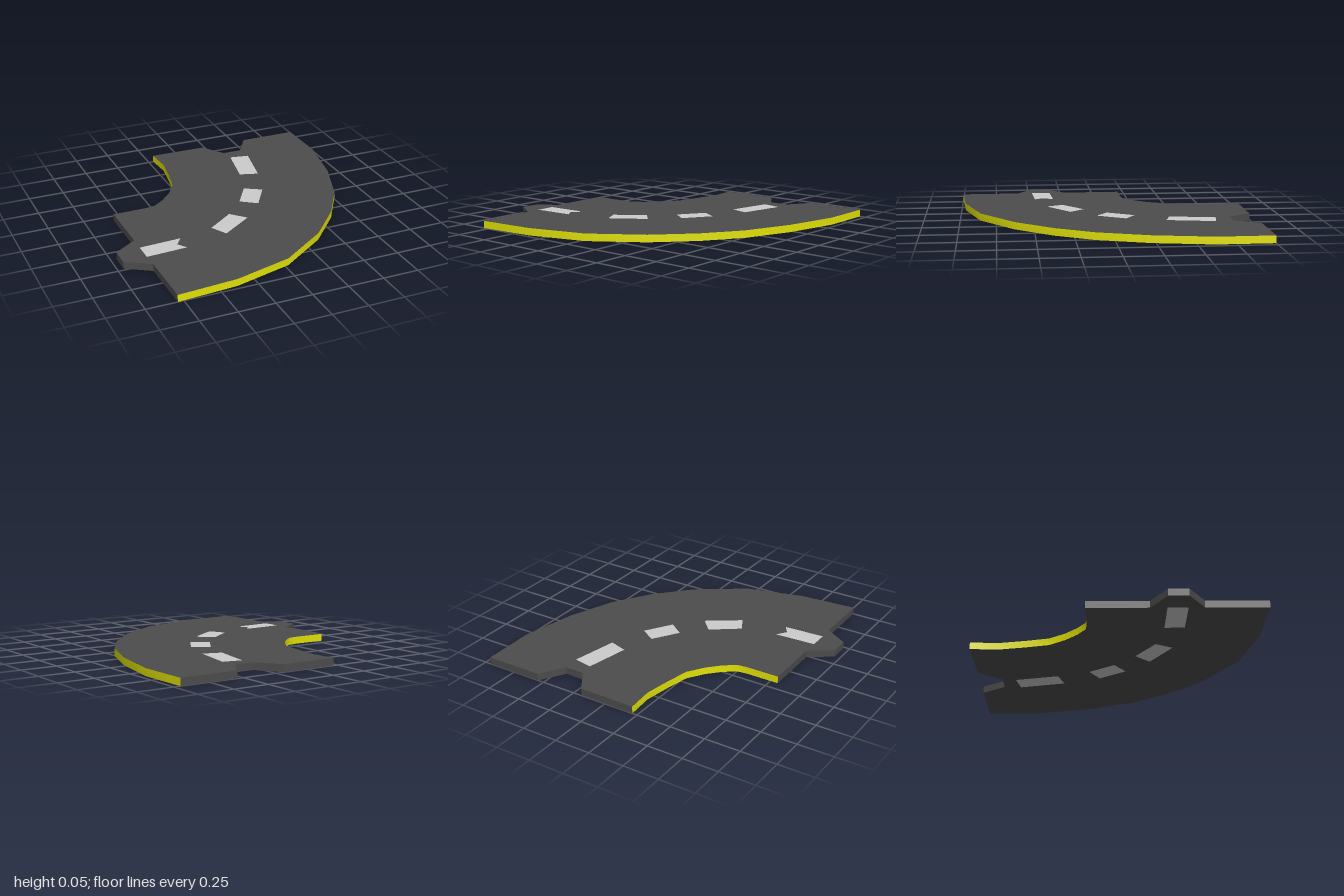
import * as THREE from 'three';
import { toCreasedNormals } from 'three/addons/utils/BufferGeometryUtils.js';

const H = 0.05;

// Outline in [x, z], clockwise seen from above
const backEnd = [[-0.215, -1], [0.19, -0.995], [0.3, -0.83], [0.44, -0.83], [0.545, -1], [0.955, -1]];
const outerCurve = [[0.955, -1], [0.96, -0.62], [0.88, -0.22], [0.755, 0.12], [0.59, 0.38],
  [0.36, 0.63], [0.025, 0.86], [-0.38, 0.97], [-0.79, 1]];
const leftEnd = [[-0.79, 1], [-0.795, 0.585], [-0.96, 0.48], [-0.96, 0.345], [-0.8, 0.235], [-0.805, -0.18]];
const innerCurve = [[-0.805, -0.18], [-0.57, -0.18], [-0.5, -0.19], [-0.42, -0.25], [-0.34, -0.335],
  [-0.265, -0.45], [-0.23, -0.62], [-0.2, -0.81], [-0.215, -1]];
const outline = [backEnd, outerCurve, leftEnd, innerCurve].flatMap((part) => part.slice(0, -1));

// Lane dashes; the last one has a notched end on the upper face
const dashes = [
  [[0.315, -0.735], [0.45, -0.71], [0.385, -0.385], [0.255, -0.425]],
  [[0.185, -0.195], [0.3, -0.125], [0.18, 0.065], [0.07, -0.015]],
  [[-0.075, 0.135], [0.02, 0.235], [-0.205, 0.39], [-0.265, 0.275]],
];
const notchedDash = [[-0.8, 0.345], [-0.51, 0.33], [-0.56, 0.4], [-0.515, 0.465], [-0.8, 0.48]];
const plainDash = notchedDash.filter((p, i) => i !== 2);

const toPoints = (list) => list.map(([x, z]) => new THREE.Vector2(x, -z));

// Flat horizontal face, facing up at the top or down at the bottom
function face(points, y, holes = []) {
  const shape = new THREE.Shape(toPoints(points));
  shape.holes = holes.map((h) => new THREE.Path(toPoints(h)));
  const geo = new THREE.ShapeGeometry(shape).rotateX(-Math.PI / 2).translate(0, y, 0);
  if (y === 0) {
    geo.index.array.reverse();
    geo.computeVertexNormals();
  }
  return geo;
}

// Vertical strip along part of the outline
function wall(points) {
  const pos = [], index = [];
  points.forEach(([x, z], i) => {
    pos.push(x, 0, z, x, H, z);
    if (i) {
      const a = 2 * i - 2;
      index.push(a, a + 1, a + 3, a, a + 3, a + 2);
    }
  });
  const geo = new THREE.BufferGeometry();
  geo.setAttribute('position', new THREE.Float32BufferAttribute(pos, 3));
  geo.setIndex(index);
  return toCreasedNormals(geo, 0.6);
}

export function createModel() {
  const group = new THREE.Group();
  group.name = 'curvedRoadPiece';
  const asphalt = new THREE.MeshStandardMaterial({ color: 0x4c4c4c });
  const yellow = new THREE.MeshStandardMaterial({ color: 0xe2e208 });
  const paint = new THREE.MeshStandardMaterial({ color: 0xcccccc });
  const add = (name, geo, mat) => {
    const mesh = new THREE.Mesh(geo, mat);
    mesh.name = name;
    group.add(mesh);
  };

  // Road faces with the dashes inlaid flush
  for (const [side, y, last] of [['top', H, notchedDash], ['bottom', 0, plainDash]]) {
    const marks = [...dashes, last];
    add(side + 'Surface', face(outline, y, marks), asphalt);
    marks.forEach((m, i) => add(side + 'Dash' + (i + 1), face(m, y), paint));
  }

  // Yellow curbs along the curves, dark interlocking ends
  add('outerCurb', wall(outerCurve), yellow);
  add('innerCurb', wall(innerCurve), yellow);
  add('socketEnd', wall(backEnd), asphalt);
  add('tabEnd', wall(leftEnd), asphalt);
  return group;
}
